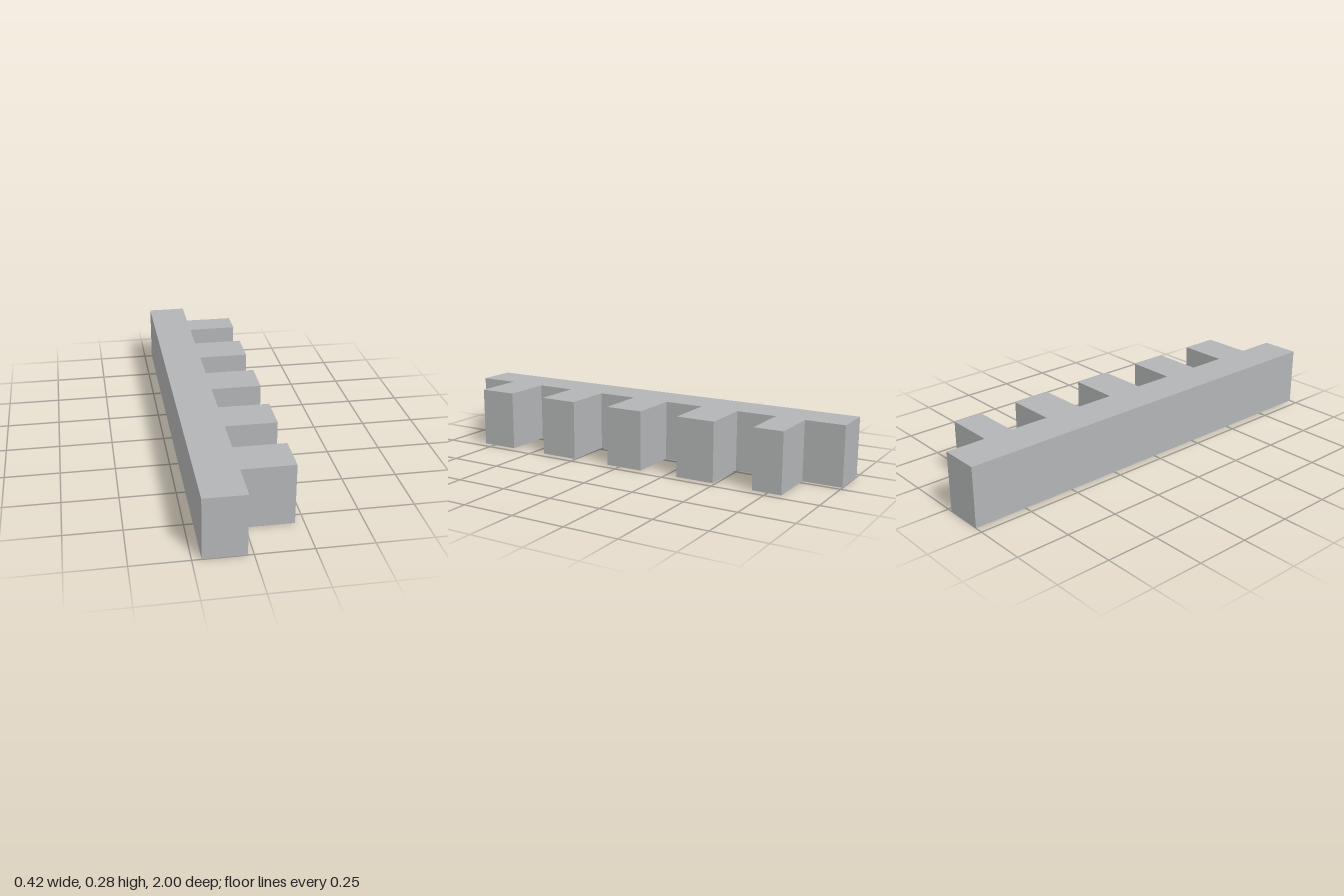
import * as THREE from 'three';

const HEIGHT = 0.28;
const BACK = -0.21, ROOT = -0.025, TIP = 0.21;

// z ranges of the teeth, front to back; the last one is narrower
const TEETH = [[0.81, 0.627], [0.44, 0.256], [0.066, -0.116], [-0.304, -0.488], [-0.677, -0.814]];

export function createModel() {
  const group = new THREE.Group();
  const grey = new THREE.MeshStandardMaterial({ color: 0xb3b4b5 });
  grey.name = 'grey';
  grey.flatShading = true;

  // Plan outline of spine and teeth, drawn with shape y = -z
  const outline = new THREE.Shape();
  outline.moveTo(BACK, -1);
  outline.lineTo(ROOT, -1);
  for (const [front, back] of TEETH) {
    outline.lineTo(ROOT, -front);
    outline.lineTo(TIP, -front);
    outline.lineTo(TIP, -back);
    outline.lineTo(ROOT, -back);
  }
  outline.lineTo(ROOT, 1);
  outline.lineTo(BACK, 1);
  outline.closePath();

  // Raise the outline to full height
  const geometry = new THREE.ExtrudeGeometry(outline, { depth: HEIGHT, bevelEnabled: false });
  geometry.rotateX(-Math.PI / 2);
  const rack = new THREE.Mesh(geometry, grey);
  rack.name = 'toothedRack';
  group.add(rack);
  return group;
}
